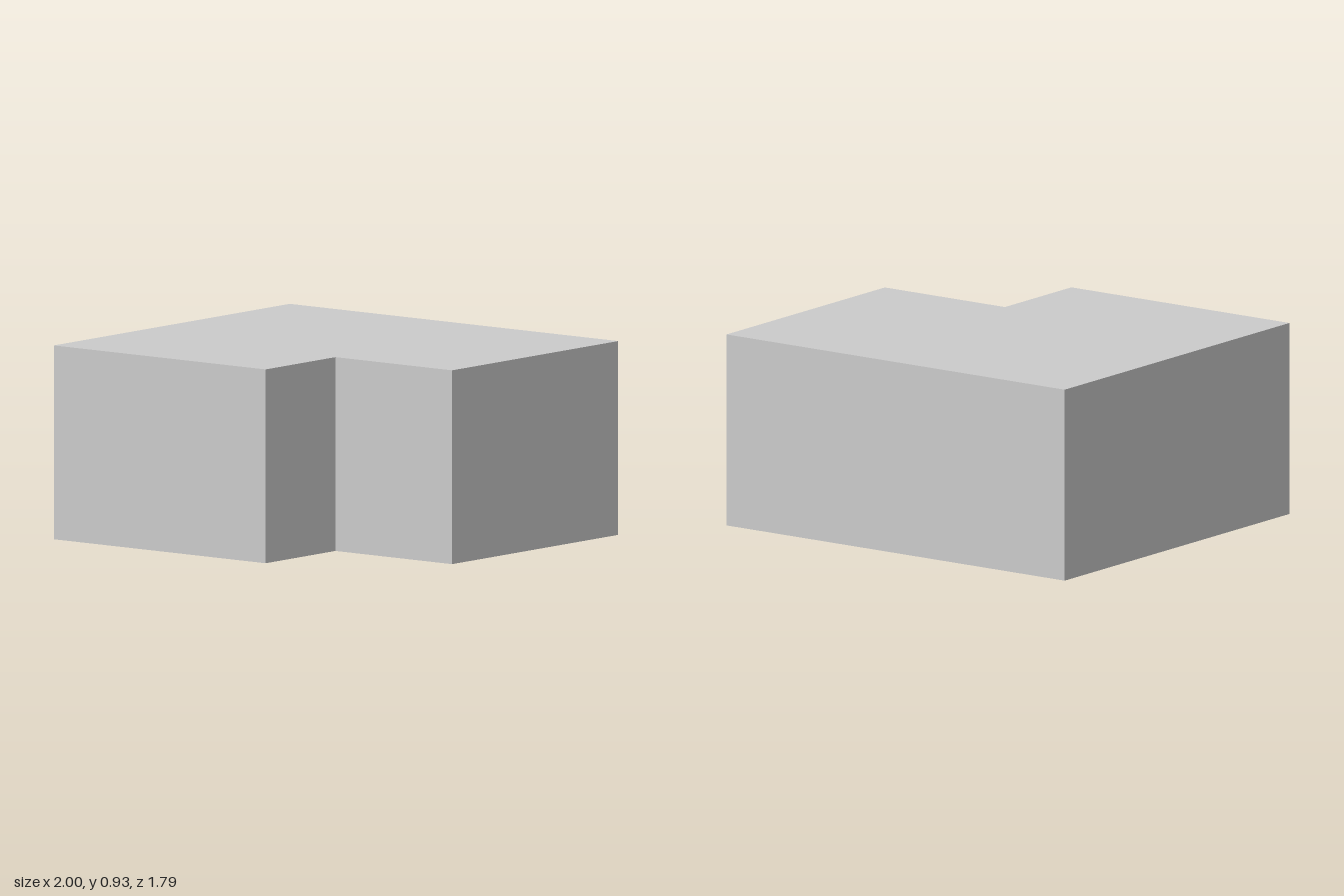
import * as THREE from 'three';

export function createModel() {
  const group = new THREE.Group();
  group.name = 'lShapedBlock';

  const height = 0.93;
  const halfWidth = 1, halfDepth = 0.896;
  const notchX = 0.29, notchZ = 0.366;

  // L-shaped footprint as [x, z], with the front left corner cut away
  const footprint = [
    [-halfWidth, halfDepth],
    [notchX, halfDepth],
    [notchX, notchZ],
    [halfWidth, notchZ],
    [halfWidth, -halfDepth],
    [-halfWidth, -halfDepth],
  ];
  const shape = new THREE.Shape(footprint.map(([x, z]) => new THREE.Vector2(x, -z)));

  // Raise the footprint into a solid block standing on the ground
  const geometry = new THREE.ExtrudeGeometry(shape, { depth: height, bevelEnabled: false });
  geometry.rotateX(-Math.PI / 2);

  const block = new THREE.Mesh(
    geometry,
    new THREE.MeshStandardMaterial({ color: 0xcccccc, flatShading: true })
  );
  block.name = 'block';
  group.add(block);
  return group;
}
